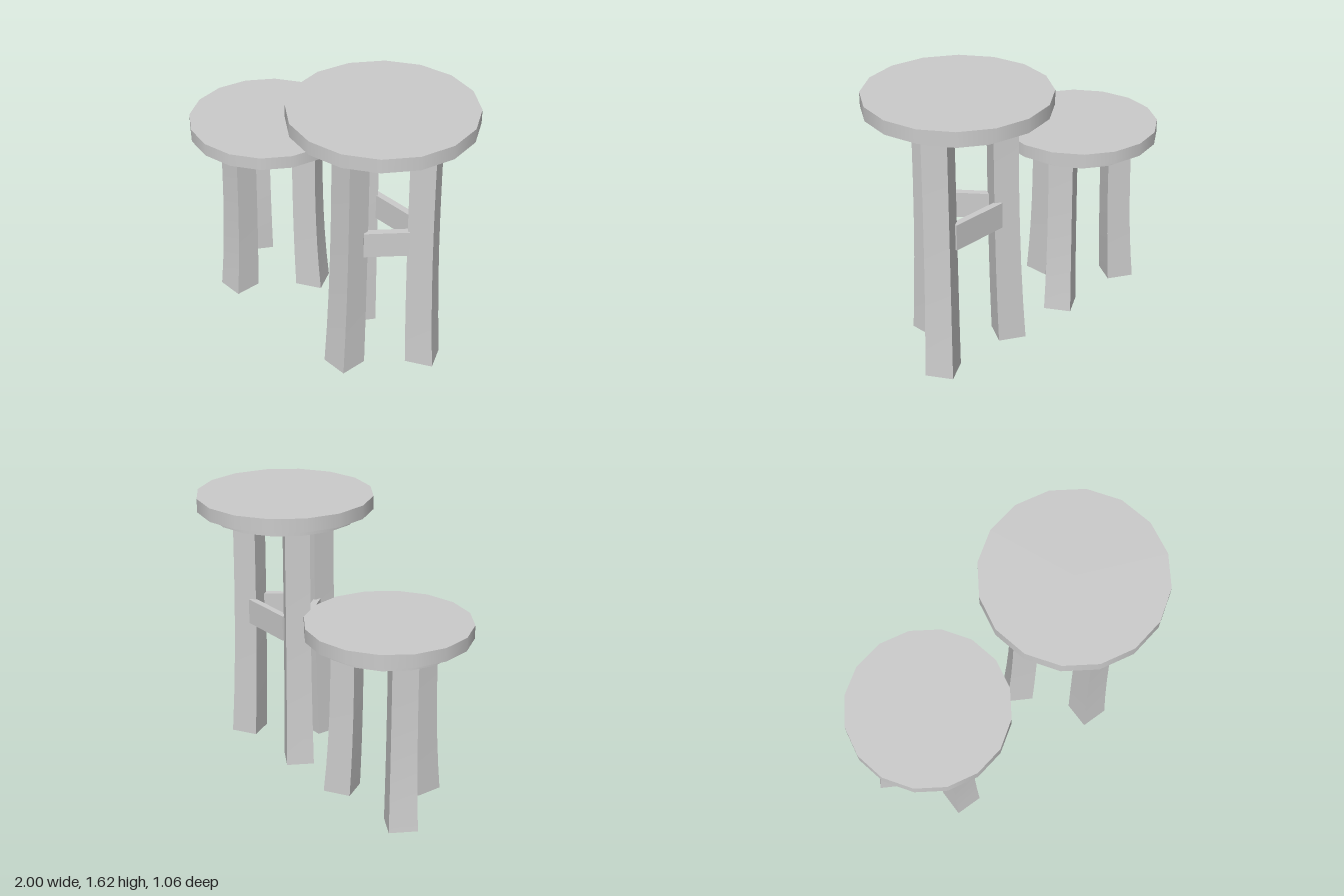
import * as THREE from 'three';

const material = new THREE.MeshStandardMaterial({ color: 0xcccccc });

function add(parent, geometry, name) {
  const mesh = new THREE.Mesh(geometry, material);
  mesh.name = name;
  parent.add(mesh);
  return mesh;
}

// Sixteen-sided disc from y0 to y1
function addDisc(parent, radius, y0, y1, name) {
  const disc = add(parent, new THREE.CylinderGeometry(radius, radius, y1 - y0, 16), name);
  disc.position.y = (y0 + y1) / 2;
}

// Square leg facing +z that swells and kicks outward towards the foot
function legGeometry(height) {
  const geometry = new THREE.BoxGeometry(0.145, height, 0.145, 1, 6, 1);
  geometry.translate(0, height / 2, 0);
  const p = geometry.attributes.position;
  for (let i = 0; i < p.count; i++) {
    const down = THREE.MathUtils.clamp(1 - p.getY(i) / height, 0, 1);
    const flare = Math.pow(down, 2.5);
    const swell = 1 + 0.14 * flare;
    p.setX(i, p.getX(i) * swell);
    p.setZ(i, p.getZ(i) * swell + 0.03 * flare);
  }
  geometry.computeVertexNormals();
  return geometry;
}

// Horizontal rail whose outer face runs from a to b ([x, z] pairs)
function addBrace(parent, a, b, name) {
  const dx = b[0] - a[0], dz = b[1] - a[1];
  const length = Math.hypot(dx, dz);
  const thickness = 0.04;
  const geometry = new THREE.BoxGeometry(length, 0.157, thickness);
  geometry.translate(0, 0, -thickness / 2);
  const brace = add(parent, geometry, name);
  brace.position.set((a[0] + b[0]) / 2, 0.848, (a[1] + b[1]) / 2);
  brace.rotation.y = Math.atan2(-dz, dx);
}

function stool(name, { radius, underRadius, legTop, underTop, top }) {
  const group = new THREE.Group();
  group.name = name;
  addDisc(group, radius, underTop, top, 'seat');
  addDisc(group, underRadius, legTop, underTop, 'seatSupport');

  // Three legs, turned to face outward
  const legs = [
    ['frontLeg', 0, 0.233, 0],
    ['backLeftLeg', 0.246, -0.098, 1],
    ['backRightLeg', -0.246, -0.098, -1],
  ];
  for (const [legName, x, z, turn] of legs) {
    const leg = add(group, legGeometry(legTop), legName);
    leg.position.set(x, 0, z);
    leg.rotation.y = turn * Math.PI * 2 / 3;
  }
  return group;
}

export function createModel() {
  const model = new THREE.Group();
  model.name = 'stools';

  const low = stool('lowStool', {
    radius: 0.475, underRadius: 0.395, legTop: 0.997, underTop: 1.047, top: 1.125,
  });
  low.position.set(-0.525, 0, -0.012);

  const tall = stool('tallStool', {
    radius: 0.528, underRadius: 0.439, legTop: 1.493, underTop: 1.542, top: 1.623,
  });
  tall.position.set(0.47, 0, 0);

  // Triangle of rails between the tall legs
  addBrace(tall, [0.08, 0.2], [0.238, 0], 'leftBrace');
  addBrace(tall, [-0.238, 0], [-0.08, 0.2], 'rightBrace');
  addBrace(tall, [0.18, -0.157], [-0.18, -0.157], 'backBrace');

  model.add(low, tall);
  return model;
}
